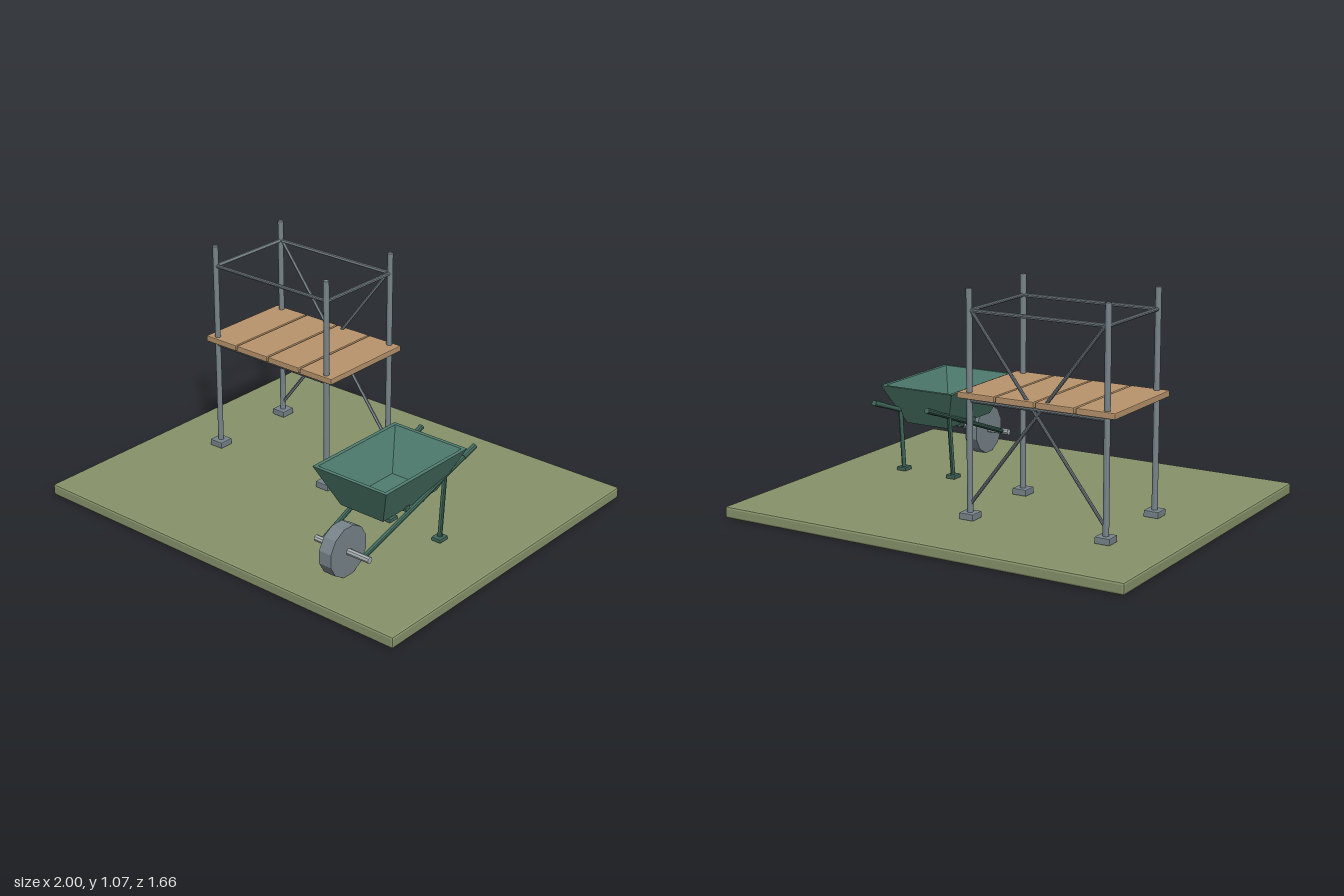
import * as THREE from 'three';
import { RoundedBoxGeometry } from 'three/addons/geometries/RoundedBoxGeometry.js';

const paint = (color) => new THREE.MeshStandardMaterial({ color, flatShading: true });
const grass = paint(0x87936b);
const steel = paint(0x78848a);
const lightSteel = paint(0xa9b1b3);
const wood = paint(0xb8946c);
const green = paint(0x4f7d6f);
const darkGreen = paint(0x3f6659);

function add(group, name, geometry, material, x = 0, y = 0, z = 0) {
  const mesh = new THREE.Mesh(geometry, material);
  mesh.name = name;
  mesh.position.set(x, y, z);
  group.add(mesh);
  return mesh;
}

const block = (w, h, d, bevel = 0.004) => new RoundedBoxGeometry(w, h, d, 1, bevel);

// Straight round bar between two points
function bar(group, name, a, b, radius, material, sides = 10) {
  const from = new THREE.Vector3(...a);
  const to = new THREE.Vector3(...b);
  const dir = to.clone().sub(from);
  const mesh = add(group, name, new THREE.CylinderGeometry(radius, radius, dir.length(), sides), material);
  mesh.position.copy(from).add(to).multiplyScalar(0.5);
  mesh.quaternion.setFromUnitVectors(new THREE.Vector3(0, 1, 0), dir.normalize());
  return mesh;
}

// Open hopper from four rectangular rings: outer bottom, outer top, inner top, inner bottom
function trayGeometry() {
  const rings = [
    [0.115, 0.085, 0.452, 0.288],
    [0.198, -0.012, 0.538, 0.478],
    [0.180, 0.006, 0.520, 0.478],
    [0.106, 0.115, 0.425, 0.306],
  ].map(([w, back, front, y]) => [[-w, y, front], [w, y, front], [w, y, back], [-w, y, back]]);
  const pos = [];
  const quad = (a, b, c, d) => pos.push(...a, ...b, ...c, ...a, ...c, ...d);
  for (let r = 0; r < 3; r++) {
    for (let i = 0; i < 4; i++) {
      const j = (i + 1) % 4;
      quad(rings[r][i], rings[r][j], rings[r + 1][j], rings[r + 1][i]);
    }
  }
  quad(...[...rings[0]].reverse());
  quad(...rings[3]);
  const geometry = new THREE.BufferGeometry();
  geometry.setAttribute('position', new THREE.Float32BufferAttribute(pos, 3));
  geometry.computeVertexNormals();
  return geometry;
}

function createScaffold() {
  const g = new THREE.Group();
  g.name = 'scaffold';
  const xs = [-0.695, -0.027];
  const zs = [-0.415, 0.031];

  // Uprights on foot plates
  for (const x of xs) {
    for (const z of zs) {
      add(g, 'footPlate', block(0.072, 0.03, 0.072), steel, x, 0.068, z);
      bar(g, 'upright', [x, 0.055, z], [x, 1.066, z], 0.0135, steel, 12);
    }
  }

  // Deck bearers and guard rails
  for (const [name, y] of [['deckBearer', 0.578], ['guardRail', 0.97]]) {
    for (const z of zs) bar(g, name, [xs[0], y, z], [xs[1], y, z], 0.009, steel);
    for (const x of xs) bar(g, name, [x, y, zs[0]], [x, y, zs[1]], 0.009, steel);
  }

  // Crossed braces on the back
  for (const [a, b] of [[0, 1], [1, 0]]) {
    bar(g, 'brace', [xs[a], 0.115, zs[0]], [xs[b], 0.985, zs[0]], 0.008, steel);
  }

  // Deck planks
  for (let i = 0; i < 4; i++) {
    add(g, 'plank', block(0.185, 0.028, 0.496), wood, -0.361 + (i - 1.5) * 0.194, 0.602, -0.191);
  }
  return g;
}

function createWheelbarrow() {
  const g = new THREE.Group();
  g.name = 'wheelbarrow';
  g.position.x = 0.528;

  add(g, 'tray', trayGeometry(), green);

  // Wheel and axle
  const wheel = add(g, 'wheel', new THREE.CylinderGeometry(0.118, 0.118, 0.064, 12), steel, 0, 0.17, 0.575);
  wheel.rotation.set(Math.PI / 12, 0, Math.PI / 2, 'XYZ');
  bar(g, 'axle', [-0.147, 0.17, 0.575], [0.147, 0.17, 0.575], 0.015, lightSteel, 8);

  // Cross members under the tray
  for (const z of [0.296, 0.196]) {
    add(g, 'crossMember', block(0.25, 0.025, 0.028), darkGreen, 0, 0.289, z);
  }

  // Splayed handles and legs on both sides
  for (const s of [-1, 1]) {
    bar(g, 'handle', [s * 0.112, 0.17, 0.575], [s * 0.146, 0.424, -0.137], 0.0115, darkGreen);
    bar(g, 'grip', [s * 0.1425, 0.398, -0.063], [s * 0.1463, 0.425, -0.139], 0.0135, darkGreen);
    bar(g, 'leg', [s * 0.139, 0.06, 0.087], [s * 0.137, 0.355, 0.06], 0.011, darkGreen);
    add(g, 'legFoot', block(0.05, 0.018, 0.056), darkGreen, s * 0.139, 0.063, 0.088);
  }
  return g;
}

export function createModel() {
  const model = new THREE.Group();
  model.name = 'buildingSite';
  add(model, 'ground', block(2, 0.054, 1.66, 0.01), grass, 0, 0.027, 0);
  model.add(createScaffold(), createWheelbarrow());
  return model;
}
